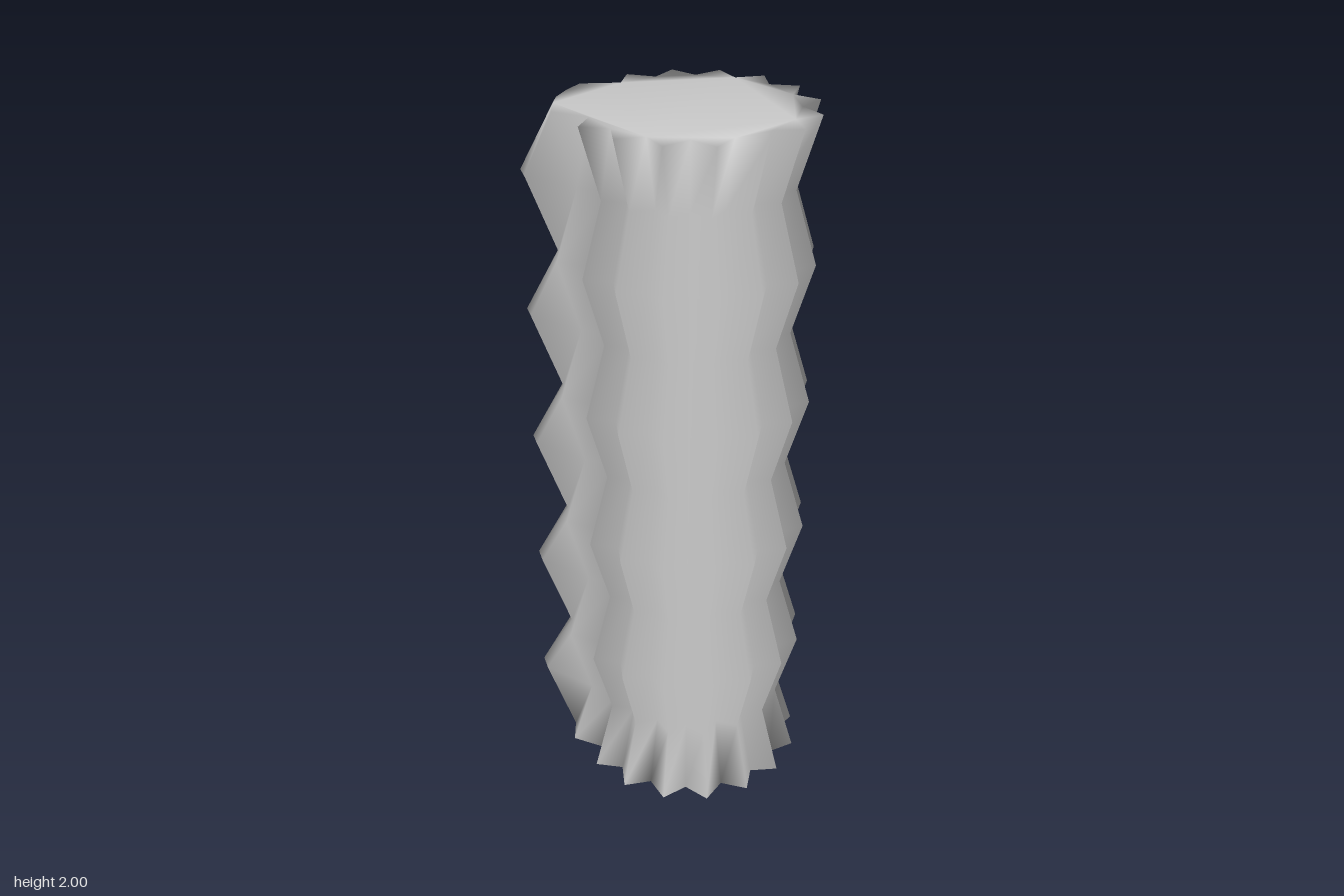
import * as THREE from 'three';

const CENTER_X = 0.067; // axis of the star-shaped part
const PEAK = 0.33, VALLEY = 0.275;
const LEVELS = 11, HEIGHT = 2;

// Closed outline, counter-clockwise from above, as Vector2(x, -z).
// Flutes swell on even levels; the pointed ridge at -x swells on odd levels.
function outline(level) {
  const wide = level % 2 === 0;
  const scale = wide ? 1 : 0.82;
  const points = [];

  // Ridge nose, listed from back (-z) to front (+z)
  const nose = wide
    ? [[-0.265, 0.12], [-0.283, 0.05], [-0.29, -0.01], [-0.283, -0.06], [-0.265, -0.133]]
    : [[-0.21, 0.105], [-0.37, 0.042], [-0.395, -0.01], [-0.37, -0.055], [-0.21, -0.112]];

  // Pointed flutes: 16 to the full circle, stopping either side of the nose
  for (let i = -13; i <= 13; i++) {
    const angle = (i * Math.PI) / 16;
    const r = (i % 2 === 0 ? PEAK : VALLEY) * scale;
    points.push(new THREE.Vector2(CENTER_X + r * Math.cos(angle), r * Math.sin(angle)));
  }
  nose.forEach(([x, v]) => points.push(new THREE.Vector2(x, v)));
  return points;
}

function columnGeometry() {
  const positions = [], index = [];
  const n = outline(0).length;

  // Stacked rings
  for (let level = 0; level < LEVELS; level++) {
    const y = (level * HEIGHT) / (LEVELS - 1);
    outline(level).forEach((p) => positions.push(p.x, y, -p.y));
  }

  // Pleated walls
  for (let level = 0; level < LEVELS - 1; level++) {
    for (let i = 0; i < n; i++) {
      const a = level * n + i;
      const b = level * n + ((i + 1) % n);
      index.push(a, b, b + n, a, b + n, a + n);
    }
  }

  // Flat end caps sharing the rim vertices, so shading rolls over the edge
  const top = (LEVELS - 1) * n;
  for (const [a, b, c] of THREE.ShapeUtils.triangulateShape(outline(0), [])) {
    index.push(top + a, top + b, top + c);
    index.push(a, c, b);
  }

  const geometry = new THREE.BufferGeometry();
  geometry.setAttribute('position', new THREE.Float32BufferAttribute(positions, 3));
  geometry.setIndex(index);
  geometry.computeVertexNormals();
  return geometry;
}

export function createModel() {
  const group = new THREE.Group();
  group.name = 'pleatedColumn';
  const column = new THREE.Mesh(
    columnGeometry(),
    new THREE.MeshStandardMaterial({ color: 0xcccccc })
  );
  column.name = 'flutedColumn';
  group.add(column);
  return group;
}
